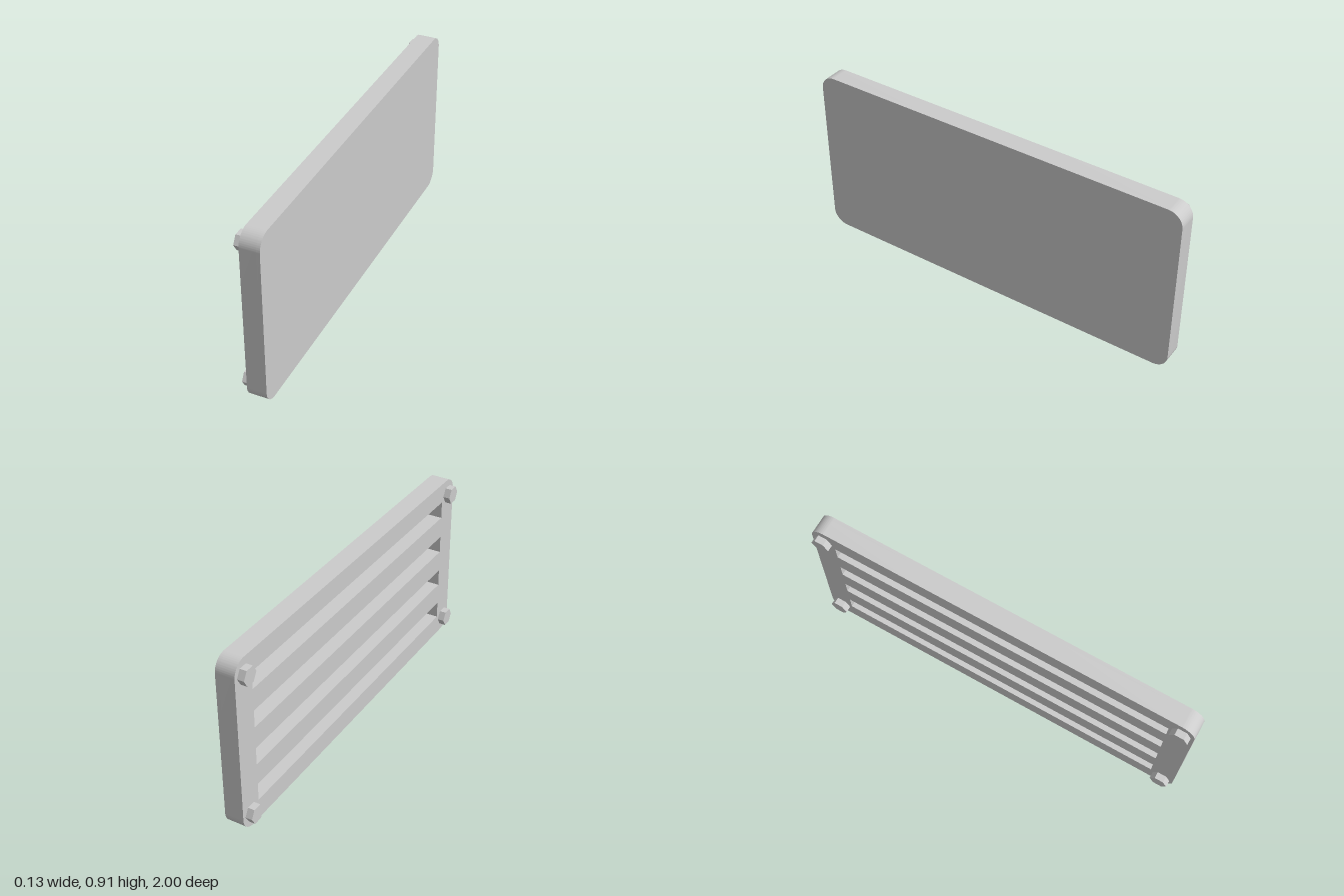
import * as THREE from 'three';
import { toCreasedNormals } from 'three/addons/utils/BufferGeometryUtils.js';

const HEIGHT = 0.91, LENGTH = 2, CORNER = 0.075;
const MID_Y = HEIGHT / 2;
const X_BACK = -0.033, X_FLOOR = 0.047, X_FACE = 0.065;

// Rounded rectangle centred on the origin
function roundedRect(w, h, r) {
  const s = new THREE.Shape();
  const x = w / 2 - r, y = h / 2 - r;
  s.absarc(x, y, r, 0, Math.PI / 2);
  s.absarc(-x, y, r, Math.PI / 2, Math.PI);
  s.absarc(-x, -y, r, Math.PI, Math.PI * 1.5);
  s.absarc(x, -y, r, Math.PI * 1.5, Math.PI * 2);
  s.closePath();
  return s;
}

// Slab in the yz plane, running from x0 to x1
function slab(shape, x0, x1) {
  const g = new THREE.ExtrudeGeometry(shape, { depth: x1 - x0, bevelEnabled: false, curveSegments: 12 });
  g.rotateY(Math.PI / 2);
  g.translate(x0, MID_Y, 0);
  return toCreasedNormals(g, 0.5);
}

export function createModel() {
  const model = new THREE.Group();
  model.name = 'ribbedPanel';
  const grey = new THREE.MeshStandardMaterial({ color: 0xcccccc });

  const add = (name, geometry) => {
    const mesh = new THREE.Mesh(geometry, grey);
    mesh.name = name;
    model.add(mesh);
    return mesh;
  };

  // Plain outer plate, which is also the floor of the slots
  add('facePlate', slab(roundedRect(LENGTH, HEIGHT, CORNER), X_FLOOR, X_FACE));

  // Frame with four long horizontal slots
  const frame = roundedRect(LENGTH, HEIGHT, CORNER);
  const halfLength = 0.877, halfHeight = 0.045, pitch = 0.2035;
  for (let i = 0; i < 4; i++) {
    const y = (i - 1.5) * pitch;
    const slot = new THREE.Path();
    slot.moveTo(-halfLength, y - halfHeight);
    slot.lineTo(-halfLength, y + halfHeight);
    slot.lineTo(halfLength, y + halfHeight);
    slot.lineTo(halfLength, y - halfHeight);
    slot.closePath();
    frame.holes.push(slot);
  }
  add('slottedFrame', slab(frame, X_BACK, X_FLOOR));

  // Hexagonal bolt heads at the corners of the slotted side
  const boltDepth = 0.034;
  const hex = new THREE.CylinderGeometry(0.046, 0.046, boltDepth, 6);
  hex.rotateZ(Math.PI / 2);
  const boltHead = toCreasedNormals(hex, 0.3);
  for (const sy of [-1, 1]) {
    for (const sz of [-1, 1]) {
      add('boltHead', boltHead).position.set(X_BACK - boltDepth / 2, MID_Y + sy * 0.375, sz * 0.937);
    }
  }

  return model;
}
